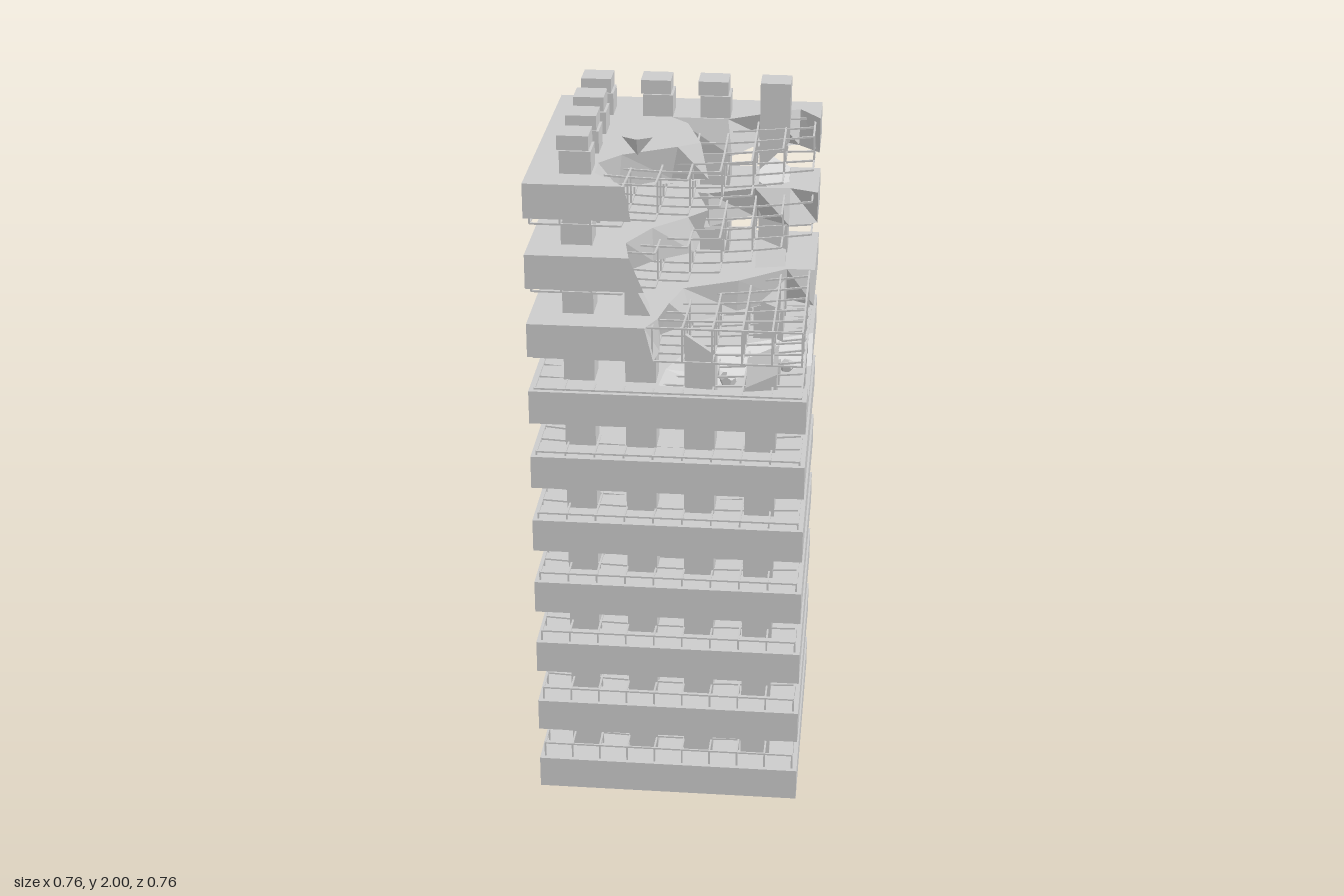
import * as THREE from 'three';
import { mergeGeometries } from 'three/addons/utils/BufferGeometryUtils.js';

const HALF = 0.38, STEP = 0.2, THICK = 0.097, COL = 0.085;
const material = new THREE.MeshStandardMaterial({ color: 0xcccccc, flatShading: true, side: THREE.DoubleSide });

function add(group, name, geometry) {
  const mesh = new THREE.Mesh(geometry, material);
  mesh.name = name;
  group.add(mesh);
  return mesh;
}

function box(w, h, d, x, y, z) {
  return new THREE.BoxGeometry(w, h, d).translate(x, y, z);
}

// Slab with a bite out of it; the lower rim is moved towards a focus by lean(i).
function brokenSlab(hole, y, height, focus, lean) {
  const outline = [...hole, [HALF, -HALF], [-HALF, -HALF], [-HALF, HALF]];
  if (hole[0][0] === HALF) outline.push([HALF, HALF]);
  const shape = new THREE.Shape(outline.map(([x, z]) => new THREE.Vector2(x, -z)));
  const g = new THREE.ExtrudeGeometry(shape, { depth: height, bevelEnabled: false }).rotateX(-Math.PI / 2);
  const p = g.attributes.position;
  for (let v = 0; v < p.count; v++) {
    if (p.getY(v) > height / 2) continue;
    const x = p.getX(v), z = p.getZ(v);
    const i = hole.findIndex(([hx, hz]) => Math.abs(hx - x) + Math.abs(hz - z) < 1e-4);
    if (i < 0) continue;
    const t = lean(i);
    if (x < HALF - 1e-4) p.setX(v, x + (focus[0] - x) * t);
    if (z < HALF - 1e-4) p.setZ(v, z + (focus[1] - z) * t);
  }
  g.computeVertexNormals();
  return g.translate(0, y, 0);
}

// Box whose top (or bottom) end is sheared into a slanted fracture.
function brokenColumn(x, z, y0, y1, slopeX, slopeZ, cutBottom = false) {
  const g = new THREE.BoxGeometry(COL, y1 - y0, COL);
  const p = g.attributes.position;
  for (let v = 0; v < p.count; v++) {
    if ((p.getY(v) < 0) !== cutBottom) continue;
    p.setY(v, p.getY(v) + p.getX(v) * slopeX + p.getZ(v) * slopeZ);
  }
  g.computeVertexNormals();
  return g.translate(x, (y0 + y1) / 2, z);
}

// Two-layer reinforcement cage that sags towards its middle.
function cage(top, keep) {
  const N = 9, R = 0.365, T = 0.005, H = 0.098;
  const at = (i) => -R + (2 * R * i) / N;
  const node = (i, j, drop) => {
    const x = at(i), z = at(j);
    const sag = 0.035 * Math.cos((x / R) * Math.PI / 2) * Math.cos((z / R) * Math.PI / 2);
    return new THREE.Vector3(x, top - drop - sag, z);
  };
  const parts = [];
  const bar = (a, b) => {
    const mid = a.clone().add(b).multiplyScalar(0.5);
    if (!keep(mid.x, mid.z)) return;
    const dir = b.clone().sub(a);
    const g = new THREE.BoxGeometry(T, dir.length(), T);
    g.applyQuaternion(new THREE.Quaternion().setFromUnitVectors(new THREE.Vector3(0, 1, 0), dir.normalize()));
    parts.push(g.translate(mid.x, mid.y, mid.z));
  };
  for (let i = 0; i <= N; i++) {
    for (let j = 0; j <= N; j++) {
      for (const drop of [0, H]) {
        if (i < N) bar(node(i, j, drop), node(i + 1, j, drop));
        if (j < N) bar(node(i, j, drop), node(i, j + 1, drop));
      }
      bar(node(i, j, 0), node(i, j, H));
    }
  }
  return mergeGeometries(parts);
}

// Edges of the collapsed corner on the upper floors, from the front edge to the +x edge.
const bites = {
  7: [[-0.06, 0.38], [-0.03, 0.31], [-0.01, 0.2], [0.02, 0.09], [0.17, 0.02], [0.3, -0.08], [0.38, -0.08]],
  8: [[-0.1, 0.38], [-0.12, 0.27], [-0.06, 0.15], [0.03, 0.06], [0.08, 0], [0.04, -0.14], [0.07, -0.135],
    [0.2, -0.19], [0.3, -0.2], [0.38, -0.17]],
  9: [[-0.11, 0.38], [-0.2, 0.28], [-0.2, 0.2], [-0.145, 0.13], [0, 0.05], [0.06, 0.01], [0.01, -0.155],
    [-0.04, -0.205], [0.12, -0.2], [0.24, -0.27], [0.32, -0.31], [0.38, -0.23]],
};
const crater = [[0.38, 0.29], [0.2, 0.33], [-0.03, 0.31], [-0.02, 0.2], [0.02, 0.09], [0.38, -0.09]];

// Broken perimeter columns: "column,row" -> [top, slopeX, slopeZ]
const broken = {
  '1,3': [1.54, -2, 0.3], '2,3': [1.4, -0.7, 0.4], '3,3': [1.34, 0.5, -0.6],
  '3,2': [1.27, 0.3, 0.3], '3,1': [1.48, -0.4, -1.8], '3,0': [1.72, -0.6, -0.8],
};

export function createModel() {
  const tower = new THREE.Group();
  tower.name = 'ruinedTower';

  // Floor slabs and reinforcement
  for (let k = 0; k < 10; k++) {
    const y = k * STEP;
    if (bites[k]) {
      add(tower, 'brokenFloorSlab', brokenSlab(bites[k], y, THICK, [0.3, 0.25], (i) => 0.1 * Math.sin(i * 2.3 + k)));
    } else if (k === 6) {
      add(tower, 'crateredSlabBase', box(2 * HALF, 0.027, 2 * HALF, 0, y + 0.0135, 0));
      add(tower, 'crateredSlabRim', brokenSlab(crater, y + 0.027, THICK - 0.027, [0.32, 0.09],
        (i) => 0.42 + 0.1 * Math.sin(i * 1.9)));
    } else {
      add(tower, 'floorSlab', box(2 * HALF, THICK, 2 * HALF, 0, y + THICK / 2, 0));
    }
    const keep = k >= 8 ? (x, z) => x + z < 0.24 : () => true;
    add(tower, 'reinforcementCage', cage(0.142 + 0.193 * k, keep));
  }

  // Perimeter columns
  const centre = [-0.25, -0.08, 0.083, 0.252];
  for (let i = 0; i < 4; i++) {
    for (let j = 0; j < 4; j++) {
      if (i % 3 && j % 3) continue;
      const x = centre[i], z = centre[j], cut = broken[`${i},${j}`];
      if (cut) {
        add(tower, 'brokenColumn', brokenColumn(x, z, 0.02, ...cut));
      } else {
        add(tower, 'column', box(COL, 1.94, COL, x, 0.99, z));
        add(tower, 'columnCap', box(COL, 0.04, COL, x - 0.007, 1.98, z - 0.007));
      }
    }
  }

  // Fragments left hanging from the collapsed columns
  add(tower, 'hangingColumn', brokenColumn(0.252, -0.255, 1.83, 2, 1, -1, true));
  const shard = new THREE.ConeGeometry(0.045, 0.05, 4).rotateX(Math.PI).scale(0.9, 1, 0.5);
  add(tower, 'hangingShard', shard.translate(-0.085, 1.975, 0.28));

  // Rubble resting in the crater
  for (const [x, y, z, s] of [[0.24, 1.245, 0.2, 0.03], [0.31, 1.24, 0.02, 0.022], [0.15, 1.245, 0.14, 0.025]]) {
    const rock = add(tower, 'rubble', new THREE.DodecahedronGeometry(s, 0));
    rock.position.set(x, y, z);
    rock.rotation.set(x * 9, z * 7, y);
  }
  return tower;
}
